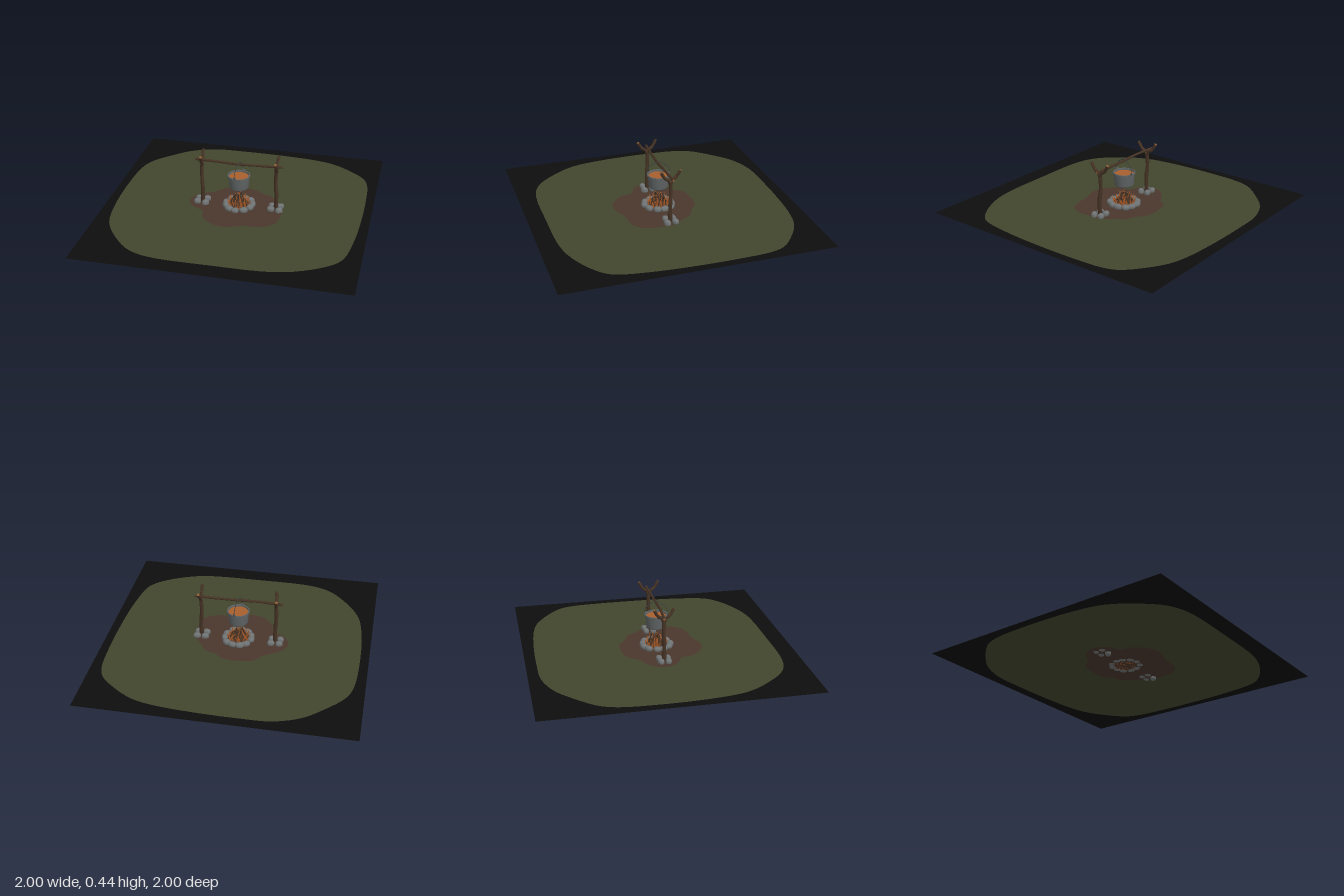
import * as THREE from 'three';

const mat = (name, color, double) => {
  const m = new THREE.MeshStandardMaterial({ color });
  m.name = name;
  if (double) m.side = THREE.DoubleSide;
  return m;
};

export function createModel() {
  const model = new THREE.Group();
  model.name = 'campfire';
  const GROUND = 0.025;

  const ash = mat('black border', 0x0d0d0d, true);
  const grass = mat('grass green', 0x42462d, true);
  const dirt = mat('dirt brown', 0x4a372d, true);
  const stoneMat = mat('stone grey', 0x6f7272);
  const bark = mat('bark brown', 0x453224);
  const cutWood = mat('cut wood', 0x8a5a33, true);
  const iron = mat('iron grey', 0x5f6363, true);
  const wireMat = mat('dark iron', 0x3c4040);
  const soupMat = mat('soup orange', 0xa85f2c);
  const emberMat = mat('fire orange', 0xa85a28);

  let seed = 7;
  const rand = (a = 0, b = 1) => {
    seed = (seed * 16807) % 2147483647;
    return a + (b - a) * seed / 2147483647;
  };
  const add = (parent, name, geo, material) => {
    const m = new THREE.Mesh(geo, material);
    m.name = name;
    parent.add(m);
    return m;
  };
  const group = (name) => {
    const g = new THREE.Group();
    g.name = name;
    model.add(g);
    return g;
  };
  const V = (x, y, z) => new THREE.Vector3(x, y, z);

  // Ground: three flat regions fitted into one another; outlines are x, z pairs
  const outline = (a) => {
    const pts = [];
    for (let i = 0; i < a.length; i += 2) pts.push(V(a[i], -a[i + 1], 0));
    return new THREE.CatmullRomCurve3(pts, true).getPoints(90).slice(0, 90)
      .map((p) => new THREE.Vector2(p.x, p.y));
  };
  const grassEdge = outline([
    -0.4, -0.91, -0.18, -0.92, 0.14, -0.915, 0.44, -0.89, 0.6, -0.85, 0.75, -0.76, 0.88, -0.64,
    0.92, -0.53, 0.935, -0.32, 0.935, 0.03, 0.915, 0.35, 0.87, 0.59, 0.8, 0.68, 0.62, 0.79,
    0.42, 0.85, -0.02, 0.865, -0.45, 0.855, -0.61, 0.8, -0.73, 0.69, -0.87, 0.48, -0.92, 0.24,
    -0.935, -0.18, -0.915, -0.45, -0.87, -0.57, -0.72, -0.735, -0.59, -0.84]);
  const dirtEdge = outline([
    -0.385, 0, -0.36, -0.08, -0.29, -0.14, -0.22, -0.18, -0.165, -0.25, -0.075, -0.275,
    0.07, -0.27, 0.14, -0.22, 0.22, -0.185, 0.28, -0.1, 0.335, -0.02, 0.34, 0.08, 0.325, 0.2,
    0.27, 0.265, 0.19, 0.29, 0.085, 0.3, -0.02, 0.34, -0.11, 0.33, -0.18, 0.285,
    -0.235, 0.215, -0.245, 0.145, -0.34, 0.09]);
  const square = [[-1, -1], [1, -1], [1, 1], [-1, 1]].map((p) => new THREE.Vector2(...p));
  const ground = group('ground');
  const region = (name, edge, hole, material) => {
    const shape = new THREE.Shape(edge);
    if (hole) shape.holes.push(new THREE.Path(hole));
    const geo = new THREE.ShapeGeometry(shape).rotateX(-Math.PI / 2);
    add(ground, name, geo.translate(0, GROUND, 0), material);
  };
  region('groundBorder', square, grassEdge, ash);
  region('grassPatch', grassEdge, dirtEdge, grass);
  region('dirtPatch', dirtEdge, null, dirt);

  // Rounded, slightly lumpy stones
  const stone = (parent, x, y, z, rx, ry, rz, turn) => {
    const geo = new THREE.SphereGeometry(1, 14, 10);
    const p = geo.attributes.position;
    const k = rand(0, 6);
    for (let i = 0; i < p.count; i++) {
      const v = V().fromBufferAttribute(p, i);
      const f = 1 + 0.07 * Math.sin(3 * v.x + k) * Math.cos(2 * v.z - k);
      const boxy = (c) => Math.sign(c) * Math.abs(c) ** 0.8;
      p.setXYZ(i, boxy(v.x) * f * rx, boxy(v.y) * ry, boxy(v.z) * f * rz);
    }
    geo.computeVertexNormals();
    const m = add(parent, 'stone', geo, stoneMat);
    m.position.set(x, y, z);
    m.rotation.y = turn;
  };
  const ring = group('fireRing');
  for (let i = 0; i < 11; i++) {
    const a = (i + rand(-0.12, 0.12)) / 11 * Math.PI * 2;
    const r = rand(0.099, 0.109);
    stone(ring, Math.sin(a) * r, 0.038, Math.cos(a) * r,
      rand(0.027, 0.035), rand(0.019, 0.023), rand(0.022, 0.027), a);
  }

  // Tapered, bent branch with pale cut ends
  const branch = (parent, name, pts, r0, r1, material = bark) => {
    const curve = new THREE.CatmullRomCurve3(pts);
    const n = 12, sides = 8;
    const geo = new THREE.TubeGeometry(curve, n, 1, sides);
    const p = geo.attributes.position;
    for (let i = 0; i < p.count; i++) {
      const t = Math.floor(i / (sides + 1)) / n;
      const c = curve.getPointAt(t);
      const r = (r0 + (r1 - r0) * t) * (1 + 0.08 * Math.sin(t * 17));
      const v = V().fromBufferAttribute(p, i).sub(c).multiplyScalar(r).add(c);
      p.setXYZ(i, v.x, v.y, v.z);
    }
    geo.computeVertexNormals();
    add(parent, name, geo, material);
    [[0, r0, -1], [1, r1, 1]].forEach(([t, r, s]) => {
      const cap = add(parent, name + 'End', new THREE.CircleGeometry(r, 8), cutWood);
      cap.position.copy(curve.getPointAt(t));
      cap.quaternion.setFromUnitVectors(V(0, 0, 1), curve.getTangentAt(t).multiplyScalar(s));
    });
  };

  // Forked posts with their foot stones
  [-1, 1].forEach((s) => {
    const post = group(s > 0 ? 'leftPost' : 'rightPost');
    const x = 0.285 * s;
    branch(post, 'trunk', [V(x, 0.026, 0), V(x + 0.004, 0.14, 0.003), V(x - 0.004, 0.25, -0.003),
      V(x, 0.36, 0)], 0.016, 0.013);
    [-1, 1].forEach((d) => branch(post, 'fork', [V(x, 0.33, 0), V(x + 0.002, 0.362, 0.014 * d),
      V(x + 0.004 * d, 0.385, 0.044 * d), V(x + (s < 0 ? 0.01 * d : 0.004), 0.436, 0.075 * d)],
      0.012, 0.011));
    [[-0.032, -0.028], [0.03, -0.03], [-0.034, 0.028], [0.03, 0.032]].forEach(([dx, dz], i) => {
      const low = i === 3;
      stone(post, x + dx, low ? 0.03 : 0.038, dz, 0.028, low ? 0.03 : 0.022, 0.023, rand(-0.6, 0.6));
    });
  });

  // Crossbar
  const barGroup = group('crossbar');
  branch(barGroup, 'bar', [V(-0.335, 0.378, -0.008), V(-0.15, 0.379, 0.002), V(0, 0.374, 0.002),
    V(0.15, 0.376, -0.004), V(0.332, 0.379, -0.008)], 0.01, 0.009);

  // Cooking pot: hollow shell, soup, lugs and wire handle
  const pot = group('cookingPot');
  const profile = [[0, 0.177], [0.055, 0.177], [0.068, 0.181], [0.073, 0.19], [0.079, 0.268],
    [0.085, 0.272], [0.085, 0.285], [0.077, 0.285], [0.074, 0.262], [0.068, 0.19], [0, 0.186]];
  const sharp = [];
  profile.forEach(([x, y], i) => {
    const p = new THREE.Vector2(x, y);
    sharp.push(p);
    // doubled points close to the rim corners keep them crisp
    if (i > 3 && i < 8) sharp.push(new THREE.Vector2(x - 0.0004, y + (i < 6 ? 0.0004 : 0)));
  });
  add(pot, 'potShell', new THREE.LatheGeometry(sharp, 36), iron);
  const soup = add(pot, 'soup', new THREE.CircleGeometry(0.076, 36), soupMat);
  soup.rotation.x = -Math.PI / 2;
  soup.position.y = 0.271;
  const handle = new THREE.CatmullRomCurve3([V(0, 0.276, 0.084), V(0, 0.298, 0.088),
    V(0, 0.335, 0.076), V(0, 0.368, 0.042), V(0, 0.386, 0), V(0, 0.368, -0.042),
    V(0, 0.335, -0.076), V(0, 0.298, -0.088), V(0, 0.276, -0.084)]);
  add(pot, 'wireHandle', new THREE.TubeGeometry(handle, 40, 0.0028, 6), wireMat);
  [-1, 1].forEach((d) => {
    const lug = add(pot, 'handleLug', new THREE.BoxGeometry(0.02, 0.024, 0.008), iron);
    lug.position.set(0, 0.284, 0.083 * d);
  });
  pot.rotation.y = -0.2;

  // Firewood leaning into a cone, and flames between the sticks
  const fire = group('fire');
  for (let i = 0; i < 16; i++) {
    const a = i * Math.PI / 8 + rand(-0.15, 0.15);
    const r = rand(0.07, 0.085), top = rand(0.005, 0.03), b = a + rand(-0.5, 0.5);
    const h = rand(0.09, 0.13);
    branch(fire, 'firewood', [V(Math.sin(a) * r, 0.03, Math.cos(a) * r),
      V(Math.sin(b) * top, h, Math.cos(b) * top)], 0.007, 0.005);
  }
  for (let i = 0; i < 44; i++) {
    const a = i * 2.4, r = 0.082 * Math.sqrt((i + 0.5) / 44);
    const h = 0.135 - 0.95 * r + rand(-0.015, 0.008);
    const flame = add(fire, 'flame', new THREE.ConeGeometry(0.0085, h, 5).translate(0, h / 2, 0), emberMat);
    flame.position.set(Math.sin(a) * r, GROUND, Math.cos(a) * r);
    flame.rotation.set(Math.cos(a) * r * 3 + rand(-0.12, 0.12), 0, -Math.sin(a) * r * 3 + rand(-0.12, 0.12));
  }
  return model;
}
